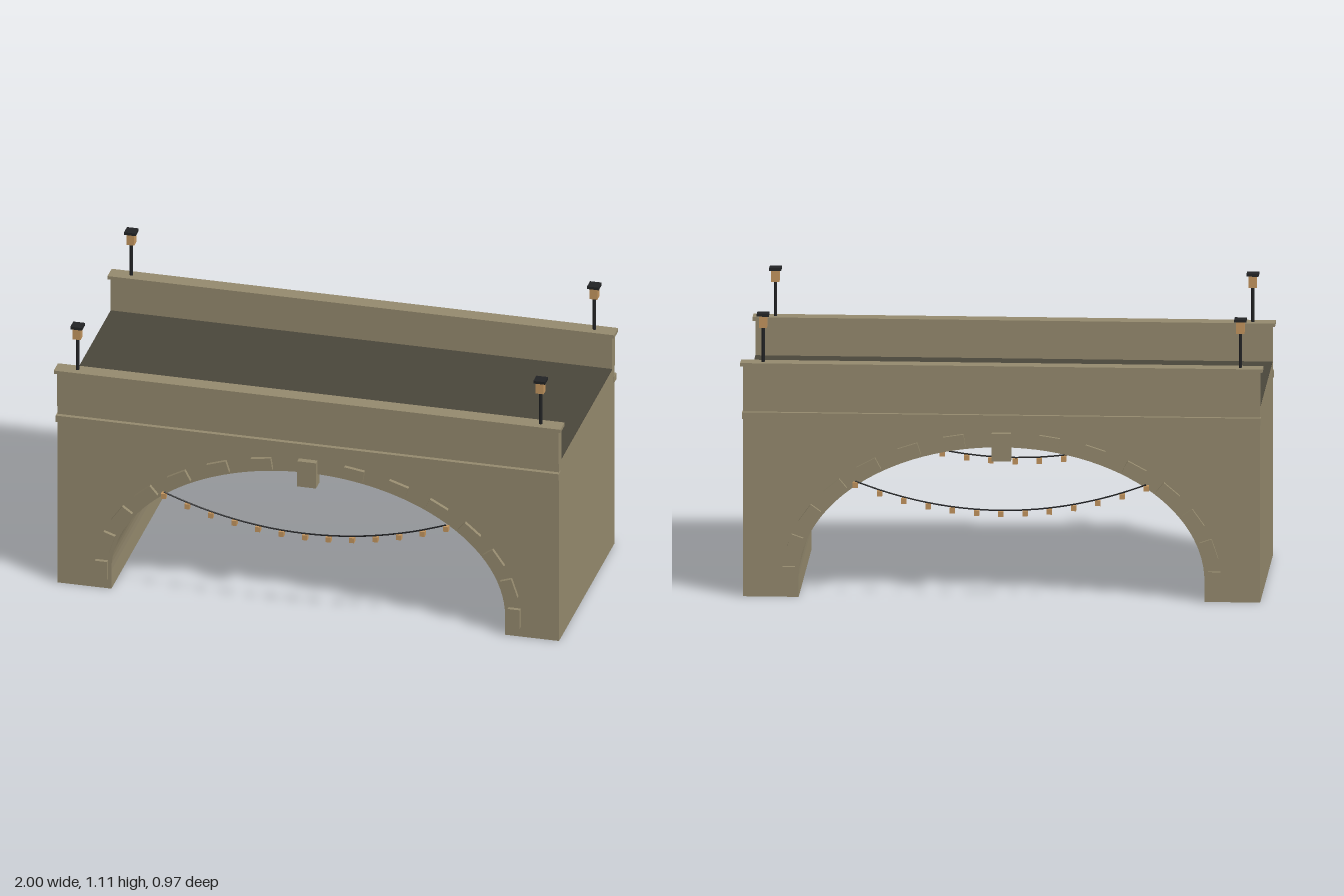
import * as THREE from 'three';

const stone = new THREE.MeshStandardMaterial({ name: 'stone', color: 0x958a6e });
const asphalt = new THREE.MeshStandardMaterial({ name: 'asphalt', color: 0x4a463b });
const iron = new THREE.MeshStandardMaterial({ name: 'iron', color: 0x222325 });
const amber = new THREE.MeshStandardMaterial({ name: 'amber glass', color: 0xc4965f });

const HALF = 0.99, DEPTH = 0.425, DECK_Y = 0.762;
const SPRING = 0.08, ARCH_RX = 0.777, ARCH_RY = 0.515;

function add(parent, name, geometry, material, x = 0, y = 0, z = 0) {
  const mesh = new THREE.Mesh(geometry, material);
  mesh.name = name;
  mesh.position.set(x, y, z);
  parent.add(mesh);
  return mesh;
}

const box = (w, h, d) => new THREE.BoxGeometry(w, h, d);

// Solid bridge body with an elliptical vault on short upright jambs
function bodyGeometry() {
  const s = new THREE.Shape();
  s.moveTo(-HALF, 0);
  s.lineTo(-ARCH_RX, 0);
  s.lineTo(-ARCH_RX, SPRING);
  s.absellipse(0, SPRING, ARCH_RX, ARCH_RY, Math.PI, 0, true);
  s.lineTo(ARCH_RX, 0);
  s.lineTo(HALF, 0);
  s.lineTo(HALF, DECK_Y);
  s.lineTo(-HALF, DECK_Y);
  s.closePath();
  const g = new THREE.ExtrudeGeometry(s, { depth: 2 * DEPTH, bevelEnabled: false, curveSegments: 28 });
  return g.translate(0, 0, -DEPTH);
}

// Arch stones follow a slightly larger ellipse, turned along its tangent
function archStones(parent, side) {
  const rx = 0.815, ry = 0.55, count = 14;
  for (let i = 0; i <= count; i++) {
    if (i === count / 2) continue;
    const t = Math.PI * i / count;
    const block = add(parent, 'archStone', box(0.048, 0.08, 0.034), stone,
      rx * Math.cos(t), SPRING + ry * Math.sin(t), side * 0.424);
    block.rotation.z = Math.atan2(ry * Math.cos(t), -rx * Math.sin(t)) - Math.PI / 2;
  }
  add(parent, 'keystone', box(0.074, 0.108, 0.05), stone, 0, 0.599, side * 0.425);
}

// Sagging wire with a small lamp cube hung at each joint
function lightString(side) {
  const g = new THREE.Group();
  g.name = 'lightString';
  const points = [];
  for (let i = 0; i <= 12; i++) {
    const u = i / 6 - 1;
    points.push(new THREE.Vector3(u * 0.557, 0.359 + 0.107 * u * u, side * 0.473));
  }
  const path = new THREE.CatmullRomCurve3(points);
  add(g, 'wire', new THREE.TubeGeometry(path, 24, 0.003, 6), iron);
  const bulb = box(0.02, 0.021, 0.02);
  for (const p of points) add(g, 'bulb', bulb, amber, p.x, p.y - 0.014, p.z);
  return g;
}

// Lamp post standing on the parapet coping
function lampPost(x, z) {
  const g = new THREE.Group();
  g.name = 'lampPost';
  g.position.set(x, 0.914, z);
  add(g, 'pole', new THREE.CylinderGeometry(0.0065, 0.0065, 0.138, 8), iron, 0, 0.069, 0);
  add(g, 'lantern', box(0.031, 0.046, 0.031), amber, 0, 0.16, 0);
  add(g, 'lanternCap', box(0.046, 0.011, 0.046), iron, 0, 0.188, 0);
  return g;
}

export function createModel() {
  const bridge = new THREE.Group();
  bridge.name = 'bridge';

  add(bridge, 'archBody', bodyGeometry(), stone);
  add(bridge, 'roadDeck', box(2 * HALF, 0.004, 0.78), asphalt, 0, DECK_Y + 0.001, 0);

  for (const side of [1, -1]) {
    const face = new THREE.Group();
    face.name = side > 0 ? 'frontFace' : 'backFace';
    add(face, 'parapet', box(2 * HALF, 0.142, 0.042), stone, 0, 0.832, side * 0.411);
    add(face, 'coping', box(2, 0.014, 0.064), stone, 0, 0.909, side * 0.411);
    add(face, 'stringCourse', box(1.986, 0.027, 0.034), stone, 0, 0.71, side * 0.425);
    archStones(face, side);
    face.add(lightString(side));
    for (const x of [-0.914, 0.914]) face.add(lampPost(x, side * 0.411));
    bridge.add(face);
  }
  return bridge;
}
